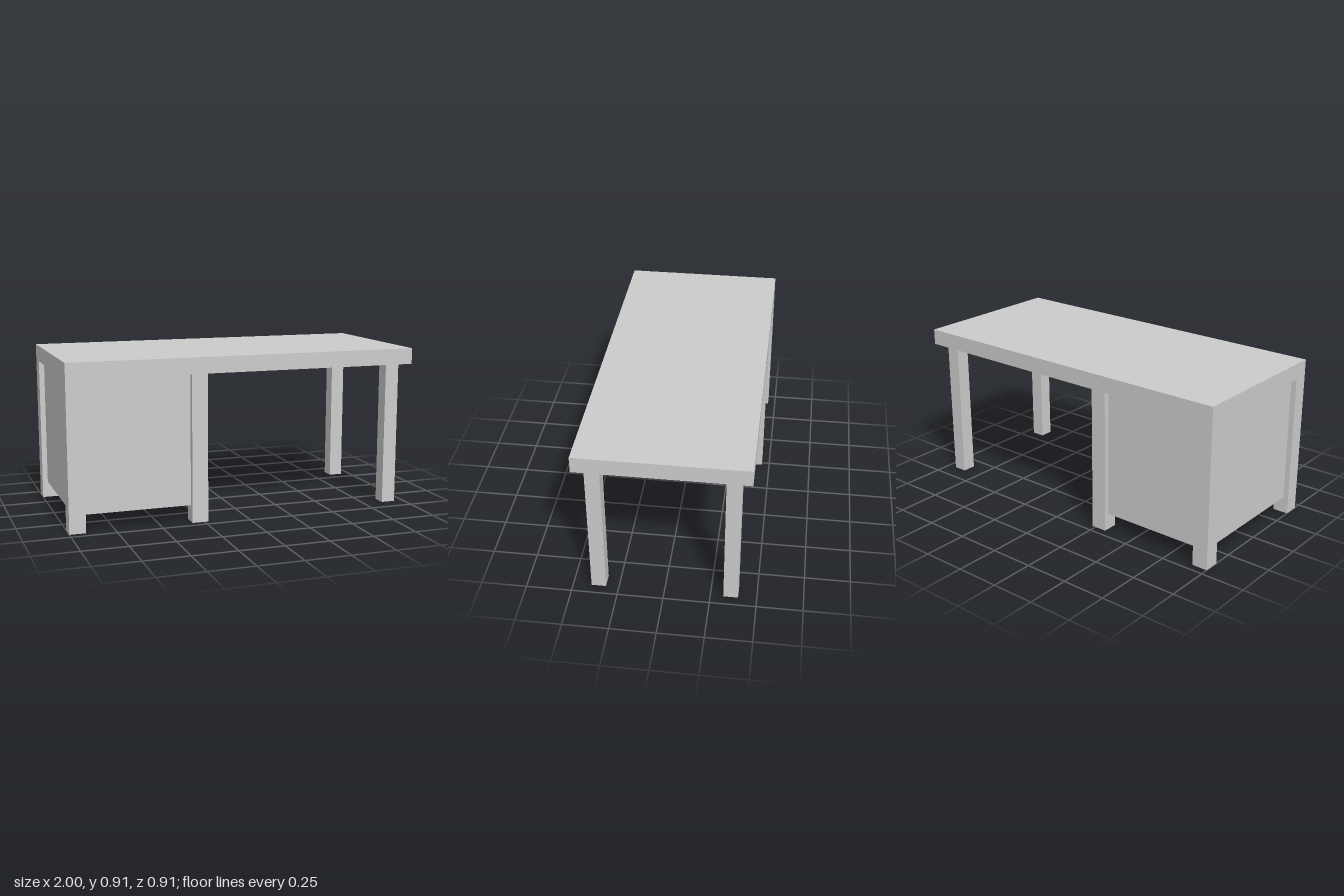
import * as THREE from 'three';

export function createModel() {
  const desk = new THREE.Group();
  desk.name = 'desk';
  const material = new THREE.MeshStandardMaterial({ color: 0xcccccc, flatShading: true });

  // Adds a box given its ranges along x, y and z
  function box(name, [x0, x1], [y0, y1], [z0, z1]) {
    const mesh = new THREE.Mesh(new THREE.BoxGeometry(x1 - x0, y1 - y0, z1 - z0), material);
    mesh.position.set((x0 + x1) / 2, (y0 + y1) / 2, (z0 + z1) / 2);
    mesh.name = name;
    desk.add(mesh);
  }
  const around = (centre, size) => [centre - size / 2, centre + size / 2];

  const under = 0.82, halfDepth = 0.455;
  box('tabletop', [-1, 1], [under, 0.91], [-halfDepth, halfDepth]);

  // Free-standing legs, set in from the edges
  for (const s of [1, -1]) {
    box(s > 0 ? 'frontLeg' : 'backLeg', around(0.905, 0.08), [0, under], around(s * 0.36, 0.08));
  }

  // Pedestal corner posts
  const post = 0.09, postX = [-0.955, -0.275], postZ = halfDepth - post / 2;
  for (const x of postX) {
    for (const s of [1, -1]) {
      box('pedestalPost', around(x, post), [0, under], around(s * postZ, post));
    }
  }

  // Recessed panels between the posts, open underneath
  const panelY = [0.093, under], thick = 0.03;
  const innerX = [postX[0] + post / 2, postX[1] - post / 2];
  const innerZ = [-postZ + post / 2, postZ - post / 2];
  for (const s of [1, -1]) {
    box(s > 0 ? 'frontPanel' : 'backPanel', innerX, panelY, around(s * postZ, thick));
  }
  postX.forEach((x, i) => {
    box(i ? 'leftPanel' : 'rightPanel', around(x, thick), panelY, innerZ);
  });

  return desk;
}
